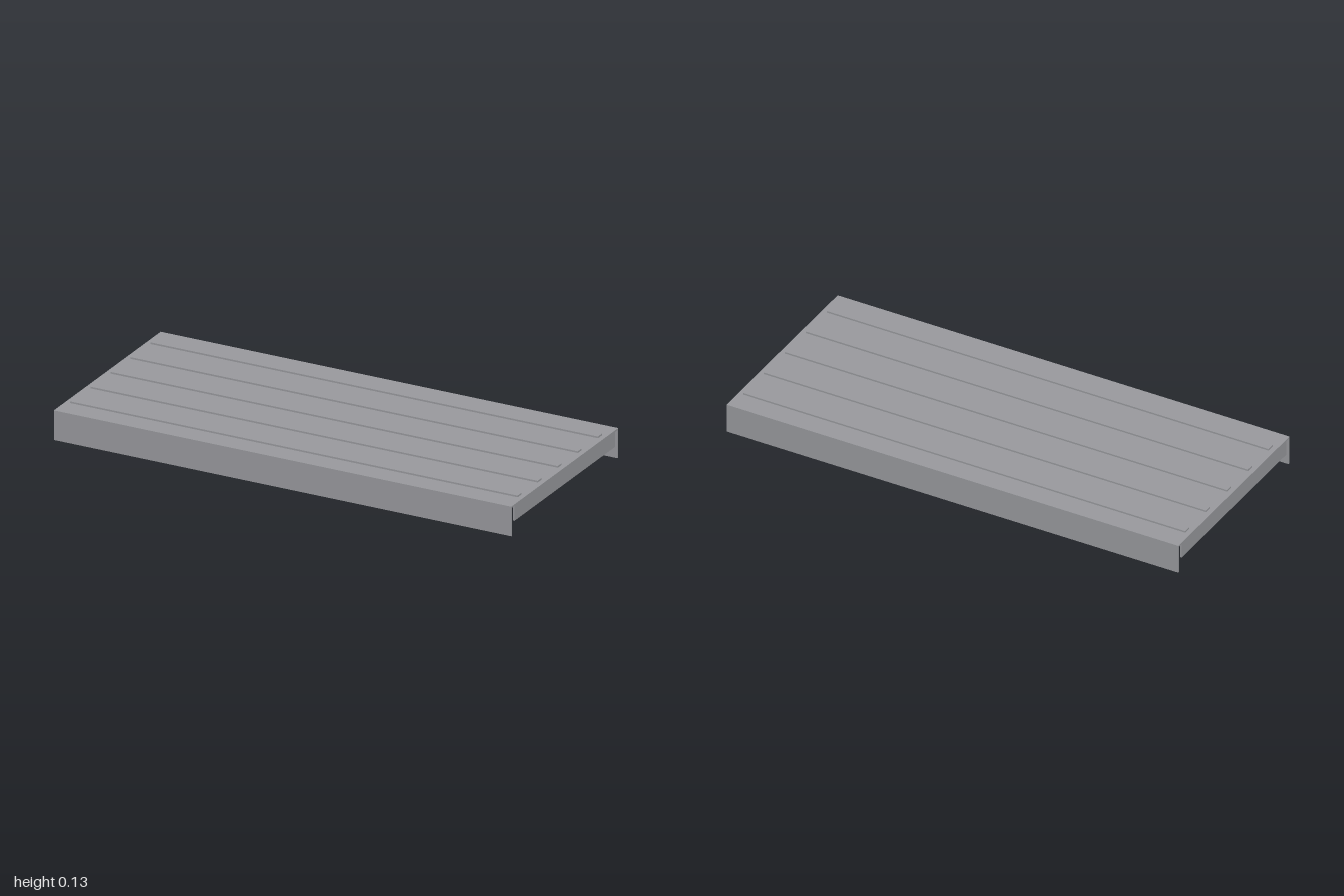
import * as THREE from 'three';

export function createModel() {
  const model = new THREE.Group();
  model.name = 'ribbedShelfPanel';
  const steel = new THREE.MeshStandardMaterial({ color: 0x9a9b9f });
  steel.name = 'greySteel';

  const topY = 0.124, sheet = 0.007, depth = 0.874;

  // Box given by its centre in x and z, and its bottom and top heights
  function slab(name, width, bottom, top, deep, x = 0, z = 0) {
    const mesh = new THREE.Mesh(new THREE.BoxGeometry(width, top - bottom, deep), steel);
    mesh.name = name;
    mesh.position.set(x, (bottom + top) / 2, z);
    model.add(mesh);
  }

  // Deck sheet
  slab('deck', 2, topY - sheet, topY, depth);

  for (const side of [-1, 1]) {
    // Long folded edges, down to the ground
    slab(side > 0 ? 'frontFlange' : 'backFlange', 2, 0, topY - sheet, sheet, 0, side * (depth - sheet) / 2);
    // Shorter folded edges at both ends, clear of the corners
    slab(side > 0 ? 'leftFlange' : 'rightFlange', sheet, 0.055, topY - sheet, 0.822, side * (1 - sheet / 2), 0);
  }

  // Raised stiffening ribs along the deck
  for (let i = -2; i <= 2; i++) {
    slab('rib', 1.956, topY, 0.131, 0.032, 0, i * 0.164);
  }
  return model;
}
